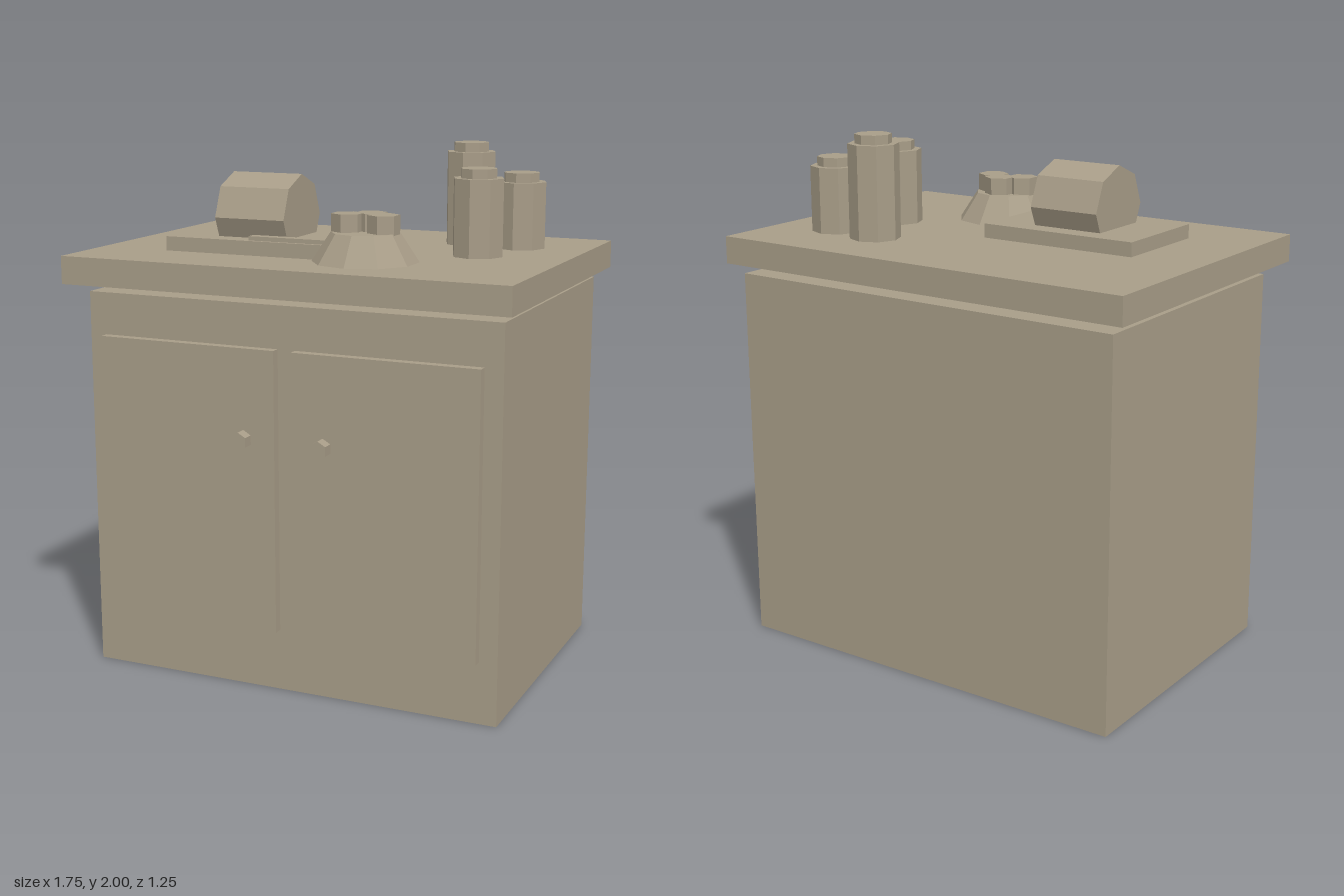
import * as THREE from 'three';

export function createModel() {
  const model = new THREE.Group();
  const taupe = new THREE.MeshStandardMaterial({ color: 0xa89d88, flatShading: true });
  taupe.name = 'taupe';

  function add(name, geometry) {
    const mesh = new THREE.Mesh(geometry, taupe);
    mesh.name = name;
    model.add(mesh);
    return mesh;
  }

  // Box given by its extents on each axis
  function box(name, [x0, x1], [y0, y1], [z0, z1]) {
    add(name, new THREE.BoxGeometry(x1 - x0, y1 - y0, z1 - z0))
      .position.set((x0 + x1) / 2, (y0 + y1) / 2, (z0 + z1) / 2);
  }

  // Upright faceted prism or cone standing on y0
  function prism(name, x, z, y0, y1, rBottom, rTop, sides) {
    add(name, new THREE.CylinderGeometry(rTop, rBottom, y1 - y0, sides))
      .position.set(x, (y0 + y1) / 2, z);
  }

  // Cabinet and overhanging worktop, with a shadow gap between them
  const top = 1.608;
  box('cabinet', [-0.82, 0.817], [0, 1.465], [-0.59, 0.52]);
  box('worktop', [-0.875, 0.873], [1.503, top], [-0.625, 0.623]);

  // Doors and their six-sided knobs
  box('rightDoor', [-0.753, -0.037], [0.236, 1.305], [0.52, 0.556]);
  box('leftDoor', [0.032, 0.747], [0.236, 1.305], [0.52, 0.556]);
  for (const x of [-0.162, 0.156]) {
    const knob = add('knob', new THREE.CylinderGeometry(0.035, 0.035, 0.044, 6));
    knob.rotation.x = Math.PI / 2;
    knob.position.set(x, 0.967, 0.578);
  }

  // Three lidded jars: x, z, height of body
  for (const [x, z, bodyTop] of [[0.389, -0.323, 1.965], [0.605, -0.288, 1.86], [0.532, -0.003, 1.895]]) {
    prism('jar', x, z, top, bodyTop, 0.097, 0.097, 8);
    prism('jarLid', x, z, bodyTop, bodyTop + 0.035, 0.07, 0.07, 8);
  }

  // Upturned bowl shape with three fruits on it
  prism('bowl', 0.212, 0.302, top, 1.715, 0.196, 0.126, 10);
  for (const [x, z] of [[0.142, 0.304], [0.283, 0.304], [0.2125, 0.247]]) {
    prism('fruit', x, z, 1.7, 1.78, 0.06, 0.06, 6);
  }

  // Cutting board with a loaf sunk into it and a knife
  box('cuttingBoard', [-0.592, 0.05], [top, 1.662], [-0.09, 0.335]);
  const loaf = add('loaf', new THREE.CylinderGeometry(0.16, 0.16, 0.285, 8));
  loaf.rotation.z = Math.PI / 2;
  loaf.position.set(-0.269, 1.735, 0.12);
  box('knife', [-0.251, 0.07], [1.662, 1.678], [0.28, 0.32]);

  return model;
}
